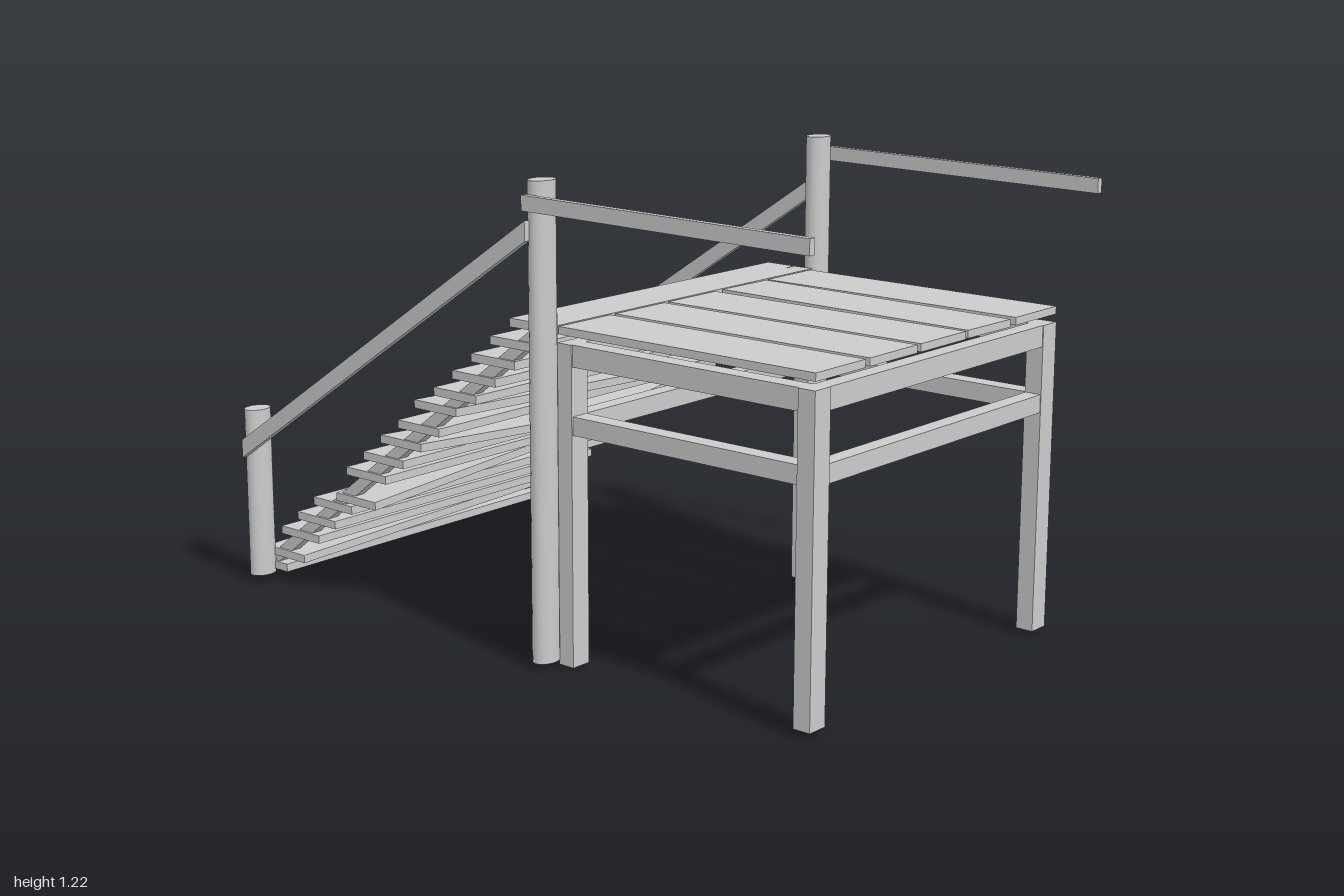
import * as THREE from 'three';

const material = new THREE.MeshStandardMaterial({ color: 0xcccccc, flatShading: true });
const smooth = new THREE.MeshStandardMaterial({ color: 0xcccccc });

export function createModel() {
  const model = new THREE.Group();

  function add(name, geometry, x, y, z, mat = material) {
    const mesh = new THREE.Mesh(geometry, mat);
    mesh.name = name;
    mesh.position.set(x, y, z);
    model.add(mesh);
    return mesh;
  }

  // Box given by its minimum and maximum on each axis
  function span(name, x0, x1, y0, y1, z0, z1) {
    return add(name, new THREE.BoxGeometry(x1 - x0, y1 - y0, z1 - z0),
      (x0 + x1) / 2, (y0 + y1) / 2, (z0 + z1) / 2);
  }

  // Sloping bar with plumb-cut ends, from (x0, y0) to (x1, y1)
  function slopingBar(name, x0, y0, x1, y1, height, depth, z) {
    const geometry = new THREE.BoxGeometry(x1 - x0, height, depth);
    const p = geometry.attributes.position;
    const slope = (y1 - y0) / (x1 - x0);
    for (let i = 0; i < p.count; i++) p.setY(i, p.getY(i) + p.getX(i) * slope);
    geometry.computeVertexNormals();
    return add(name, geometry, (x0 + x1) / 2, (y0 + y1) / 2, z);
  }

  // Plank across the stairs, running from z0 to z1 with its own height and x at each end
  function plank(name, z0, z1, xBack, xFront, yBack, yFront) {
    const geometry = new THREE.BoxGeometry(0.152, 0.022, z1 - z0);
    const p = geometry.attributes.position;
    for (let i = 0; i < p.count; i++) {
      const t = p.getZ(i) / (z1 - z0);
      p.setX(i, p.getX(i) + t * (xFront - xBack));
      p.setY(i, p.getY(i) + t * (yFront - yBack));
    }
    geometry.computeVertexNormals();
    return add(name, geometry, (xBack + xFront) / 2, (yBack + yFront) / 2, (z0 + z1) / 2);
  }

  // Handrail posts, oval in section, with their rails
  function post(name, x, z, y0, y1) {
    const geometry = new THREE.CylinderGeometry(1, 1, y1 - y0, 20);
    geometry.scale(0.03, 1, 0.039);
    add(name, geometry, x, (y0 + y1) / 2, z, smooth);
  }
  for (const side of [1, -1]) {
    const z = side * 0.547;
    post('lowerPost', -0.92, z, 0.02, 0.49);
    post('upperPost', 0.157, z, 0.015, 1.22);
    slopingBar('stairHandrail', -0.925, 0.383, 0.15, 1.1, 0.05, 0.018, side * 0.592);
    slopingBar('deckHandrail', 0.145, 1.168, 1, 1.158, 0.038, 0.018, side * 0.598);
  }

  // Stair stringers
  for (const z of [0.5, -0.485]) {
    slopingBar('stairStringer', -0.945, 0.026, 0.115, 0.842, 0.04, 0.03, z);
  }

  // Stair treads; a few have slipped, one has snapped
  const slipped = {
    1: { yBack: 0.108, yFront: 0.08, xBack: -0.005, xFront: 0.005 },
    5: { yBack: 0.335, yFront: 0.285, xBack: -0.025, xFront: 0.025 },
    10: { yBack: 0.552, yFront: 0.59, xBack: 0.005, xFront: -0.005 },
  };
  const zBack = -0.507, zFront = 0.522, zBreak = -0.16;
  for (let i = 0; i < 16; i++) {
    const x = -0.924 + i * 0.068;
    const y = 0.04 + i * 0.054;
    const s = slipped[i];
    if (i === 8) {
      plank('brokenTreadLong', zBreak, zFront, x, x, 0.432, 0.475);
      plank('brokenTreadShort', zBack, zBreak - 0.006, x, x, 0.472, 0.435);
    } else if (s) {
      plank('slippedTread', zBack, zFront, x + s.xBack, x + s.xFront, s.yBack, s.yFront);
    } else {
      plank('tread', zBack, zFront, x, x, y, y);
    }
  }

  // Deck legs
  for (const [z0, z1] of [[0.46, 0.518], [-0.49, -0.43]]) {
    span('outerLeg', 0.907, 0.955, 0.015, 0.82, z0, z1);
    span('innerLeg', 0.175, 0.222, 0, 0.82, z0, z1);
  }

  // Deck frame: an upper and a lower ring of rails
  for (const [y0, y1] of [[0.765, 0.82], [0.595, 0.642]]) {
    for (const z of [0.489, -0.46]) span('sideRail', 0.22, 0.91, y0, y1, z - 0.025, z + 0.025);
    for (const x of [0.198, 0.931]) span('crossRail', x - 0.022, x + 0.022, y0, y1, -0.435, 0.465);
  }

  // Deck boards, the second one knocked askew
  [-0.397, -0.195, 0.012, 0.215, 0.42].forEach((z, i) => {
    const board = add('deckBoard', new THREE.BoxGeometry(0.775, 0.02, i === 1 ? 0.18 : 0.188), 0.565, 0.85, z);
    if (i === 1) board.rotation.y = -0.025;
  });

  return model;
}
